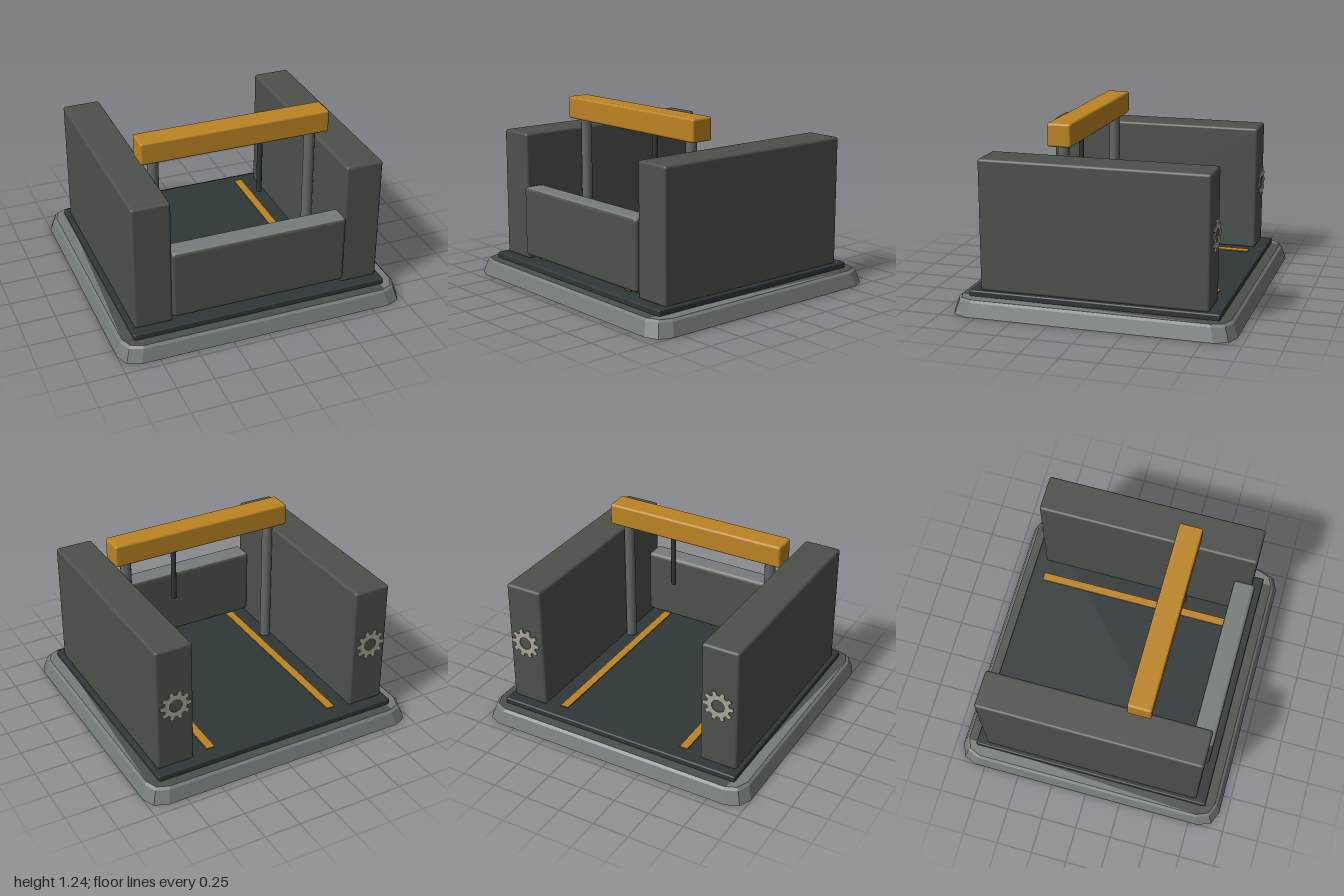
import * as THREE from 'three';
import { RoundedBoxGeometry } from 'three/addons/geometries/RoundedBoxGeometry.js';

export function createModel() {
  const model = new THREE.Group();
  const mat = (name, color, side = THREE.FrontSide) => {
    const m = new THREE.MeshStandardMaterial({ color, side });
    m.name = name;
    return m;
  };
  const wallGrey = mat('wallGrey', 0x4d514c);
  const paleGrey = mat('paleGrey', 0x757d7b, THREE.DoubleSide);
  const postGrey = mat('postGrey', 0x626866);
  const deckDark = mat('deckDark', 0x2f3737);
  const amber = mat('amber', 0xbc8423);
  const gearCream = mat('gearCream', 0xaaa998, THREE.DoubleSide);

  const add = (name, geometry, material, x = 0, y = 0, z = 0) => {
    const mesh = new THREE.Mesh(geometry, material);
    mesh.name = name;
    mesh.position.set(x, y, z);
    model.add(mesh);
    return mesh;
  };
  // Rounded box given by its limits on each axis
  const block = (name, material, [x0, x1], [y0, y1], [z0, z1], r) =>
    add(name, new RoundedBoxGeometry(x1 - x0, y1 - y0, z1 - z0, 2, r), material,
      (x0 + x1) / 2, (y0 + y1) / 2, (z0 + z1) / 2);

  // Base outline: rectangle with two-facet corners
  const outline = (hx, hz, r) => {
    const pts = [];
    [[1, 1], [-1, 1], [-1, -1], [1, -1]].forEach(([sx, sz], q) => {
      for (let i = 0; i <= 2; i++) {
        const a = (q + i / 2) * Math.PI / 2;
        pts.push(new THREE.Vector2(sx * (hx - r) + r * Math.cos(a), sz * (hz - r) + r * Math.sin(a)));
      }
    });
    return pts;
  };
  const levels = [
    { y: 0, p: outline(1, 0.945, 0.125) },
    { y: 0.09, p: outline(0.972, 0.917, 0.12) },
    { y: 0.105, p: outline(0.955, 0.9, 0.11) },
  ];

  // Sloping base sides
  const verts = [];
  for (let l = 0; l < levels.length - 1; l++) {
    const lo = levels[l], hi = levels[l + 1], n = lo.p.length;
    for (let i = 0; i < n; i++) {
      const j = (i + 1) % n;
      const a = [lo.p[i].x, lo.y, lo.p[i].y], b = [lo.p[j].x, lo.y, lo.p[j].y];
      const c = [hi.p[j].x, hi.y, hi.p[j].y], d = [hi.p[i].x, hi.y, hi.p[i].y];
      verts.push(...a, ...c, ...b, ...a, ...d, ...c);
    }
  }
  const sides = new THREE.BufferGeometry();
  sides.setAttribute('position', new THREE.Float32BufferAttribute(verts, 3));
  sides.computeVertexNormals();
  add('baseSides', sides, paleGrey);

  // Base top and underside
  const cap = (p, dir) => new THREE.ShapeGeometry(new THREE.Shape(p)).rotateX(dir * Math.PI / 2);
  add('baseTop', cap(levels[2].p, -1), wallGrey, 0, 0.105, 0);
  add('baseUnderside', cap(levels[0].p, 1), wallGrey);

  // Pale wedges along the left and right rims
  for (const s of [1, -1]) {
    const wedge = new THREE.Shape([
      new THREE.Vector2(s * 0.955, s * -0.79), new THREE.Vector2(s * 0.955, s * 0.79),
      new THREE.Vector2(s * 0.922, s * 0.868), new THREE.Vector2(s * 0.86, s * 0.895),
    ]);
    add('rimWedge', new THREE.ShapeGeometry(wedge).rotateX(Math.PI / 2).scale(1, 1, 1), paleGrey, 0, 0.107, 0);
  }

  // Deck
  block('deck', deckDark, [-0.885, 0.885], [0.1, 0.145], [-0.835, 0.835], 0.01);

  // Front barrier with a pale top
  const sidesAndTop = [wallGrey, wallGrey, paleGrey, wallGrey, wallGrey, wallGrey];
  block('frontBarrier', sidesAndTop, [-0.605, 0.605], [0.175, 0.655], [0.637, 0.788], 0.025);

  // Gear emblem shape with ten teeth and a round hole
  const teeth = 10, gearPts = [];
  for (let i = 0; i < teeth; i++) {
    [[-0.32, 0.08], [-0.2, 0.108], [0.2, 0.108], [0.32, 0.08]].forEach(([t, r]) => {
      const a = (i + t) * Math.PI * 2 / teeth;
      gearPts.push(new THREE.Vector2(r * Math.cos(a), r * Math.sin(a)));
    });
  }
  const gear = new THREE.Shape(gearPts);
  gear.holes.push(new THREE.Path().absarc(0, 0, 0.045, 0, Math.PI * 2, true));
  const gearGeo = new THREE.ExtrudeGeometry(gear, { depth: 0.006, bevelEnabled: false, curveSegments: 10 });

  // Mirrored parts: side walls, posts, floor rails, gears
  for (const s of [1, -1]) {
    const span = (a, b) => (s > 0 ? [a, b] : [-b, -a]);
    block('sideWall', wallGrey, span(0.598, 0.858), [0.14, 1.02], [-0.762, 0.765], 0.018);
    add('gantryPost', new THREE.CylinderGeometry(0.037, 0.037, 0.94, 16), postGrey, s * 0.552, 0.63, 0.288);
    add('floorRail', new THREE.BoxGeometry(0.057, 0.008, 1.48), amber, s * 0.464, 0.158, 0);
    add('gear', gearGeo, gearCream, s * 0.728, 0.605, -0.778);
  }

  // Gantry beam and hanging probe
  block('gantryBeam', amber, [-0.656, 0.656], [1.08, 1.235], [0.204, 0.366], 0.016);
  add('probe', new THREE.CylinderGeometry(0.018, 0.018, 0.42, 10), deckDark, 0.193, 0.89, 0.288);

  return model;
}
